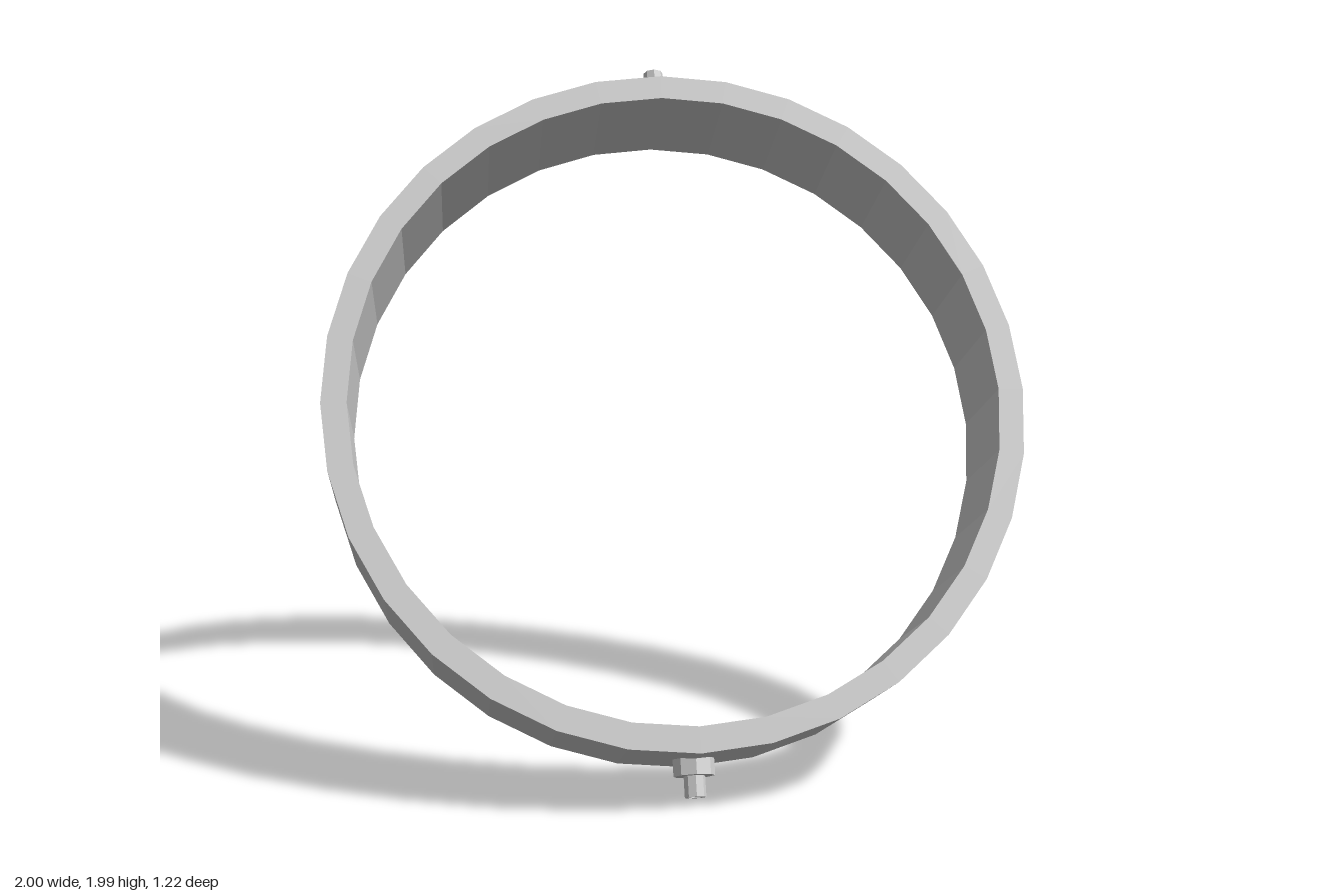
import * as THREE from 'three';

const material = new THREE.MeshStandardMaterial({ color: 0xcccccc, flatShading: true });

// Faceted solid of revolution about y from [radius, height] pairs
function turned(name, profile, sides) {
  const points = profile.map(([r, y]) => new THREE.Vector2(r, y));
  const mesh = new THREE.Mesh(new THREE.LatheGeometry(points, sides), material);
  mesh.name = name;
  return mesh;
}

// Pivot fitting: a nut on the band and a hollow-ended pin, pointing along +y
function createPivot(name) {
  const pivot = new THREE.Group();
  pivot.name = name;
  pivot.add(turned('nut', [[0, 0.96], [0.058, 0.96], [0.058, 1.042], [0, 1.042]], 8));
  pivot.add(turned('pin', [[0.03, 1.03], [0.03, 1.1], [0.022, 1.1], [0.022, 1.045], [0, 1.045]], 8));
  return pivot;
}

export function createModel() {
  const model = new THREE.Group();
  model.name = 'tiltedRing';

  const tilted = new THREE.Group();
  tilted.name = 'ringAssembly';
  tilted.position.y = 0.993;
  tilted.rotation.x = -0.47;
  model.add(tilted);

  // Flat band with a rectangular section, its axis facing forward
  const half = 0.177, outer = 1, inner = 0.928;
  const band = turned('band', [
    [inner, -half], [outer, -half], [outer, half], [inner, half], [inner, -half],
  ], 32);
  band.rotation.x = Math.PI / 2;
  tilted.add(band);

  // Opposite pivots at the top and bottom of the band
  const top = createPivot('topPivot');
  const bottom = createPivot('bottomPivot');
  bottom.rotation.x = Math.PI;
  tilted.add(top, bottom);

  return model;
}
